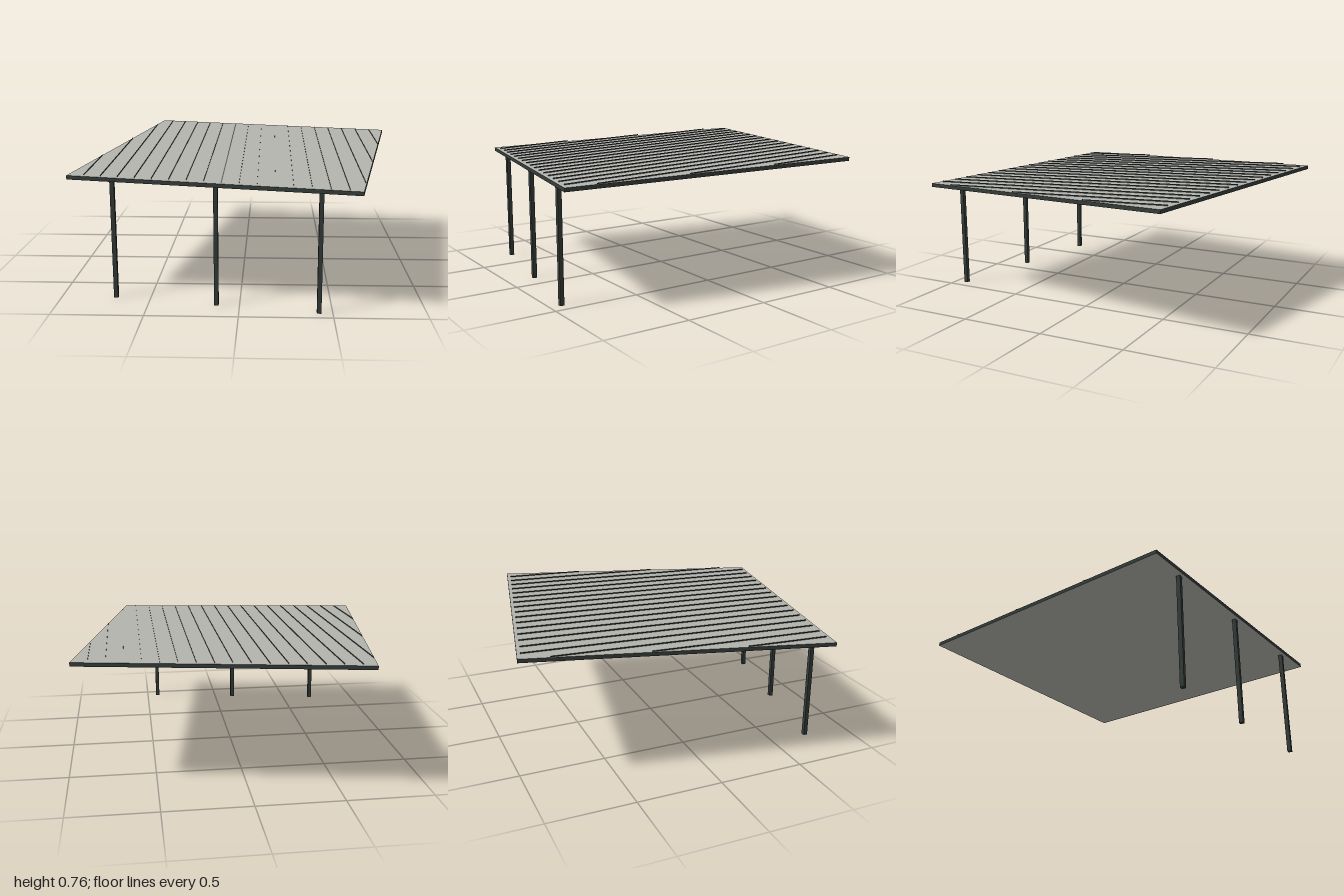
import * as THREE from 'three';

export function createModel() {
  const model = new THREE.Group();
  const roofGrey = new THREE.MeshStandardMaterial({ color: 0xb4b4af });
  roofGrey.name = 'roofGrey';
  const darkSteel = new THREE.MeshStandardMaterial({ color: 0x343c39, side: THREE.DoubleSide });
  darkSteel.name = 'darkSteel';

  const thickness = 0.022;
  const ribHeight = 0.007;
  // Gently sloping roof plane, highest at the back
  const roofY = (x, z) => 0.715 - 0.002 * x - 0.0355 * z;
  // Roof outline as [x, z]: front left, front right, back right, back left as seen from the front
  const outline = [[-0.945, 0.718], [0.634, 1], [0.945, -0.675], [-0.635, -1]];

  function add(name, geometry, material) {
    const mesh = new THREE.Mesh(geometry, material);
    mesh.name = name;
    model.add(mesh);
    return mesh;
  }

  // Flat four-cornered face, corners anticlockwise seen from its front
  function quad(corners) {
    const geometry = new THREE.BufferGeometry();
    geometry.setAttribute('position', new THREE.Float32BufferAttribute(corners.flat(), 3));
    geometry.setIndex([0, 1, 2, 0, 2, 3]);
    geometry.computeVertexNormals();
    return geometry;
  }
  const at = ([x, z], offset) => [x, roofY(x, z) + offset, z];

  // Roof sheet, upper and lower faces
  add('roofTop', quad(outline.map((p) => at(p, 0))), roofGrey);
  add('roofUnderside', quad(outline.map((p) => at(p, -thickness)).reverse()), roofGrey);

  // Dark fascia around the four edges
  outline.forEach((p, i) => {
    const q = outline[(i + 1) % 4];
    add('fascia', quad([at(p, -thickness), at(q, -thickness), at(q, 0), at(p, 0)]), darkSteel);
  });

  // Standing seams running front to back, cut off at the slanted outline
  const [frontA, frontB, backB, backA] = outline;
  const zOn = (p, q, x) => p[1] + ((x - p[0]) / (q[0] - p[0])) * (q[1] - p[1]);
  const inset = 0.02;
  for (let i = 1; i < 20; i++) {
    const x = -0.945 + i * 0.0945;
    const front = (x < frontB[0] ? zOn(frontA, frontB, x) : zOn(frontB, backB, x)) - inset;
    const back = (x < backA[0] ? zOn(frontA, backA, x) : zOn(backA, backB, x)) + inset;
    add('roofSeam', quad([at([x, front], 0), at([x, back], 0),
      at([x, back], ribHeight), at([x, front], ribHeight)]), darkSteel);
  }

  // Three square posts under the front edge
  for (const [x, z] of [[-0.694, 0.73], [-0.126, 0.83], [0.427, 0.93]]) {
    const height = roofY(x, z) - thickness / 2;
    const post = add('post', new THREE.BoxGeometry(0.024, height, 0.024), darkSteel);
    post.position.set(x, height / 2, z);
  }
  return model;
}
